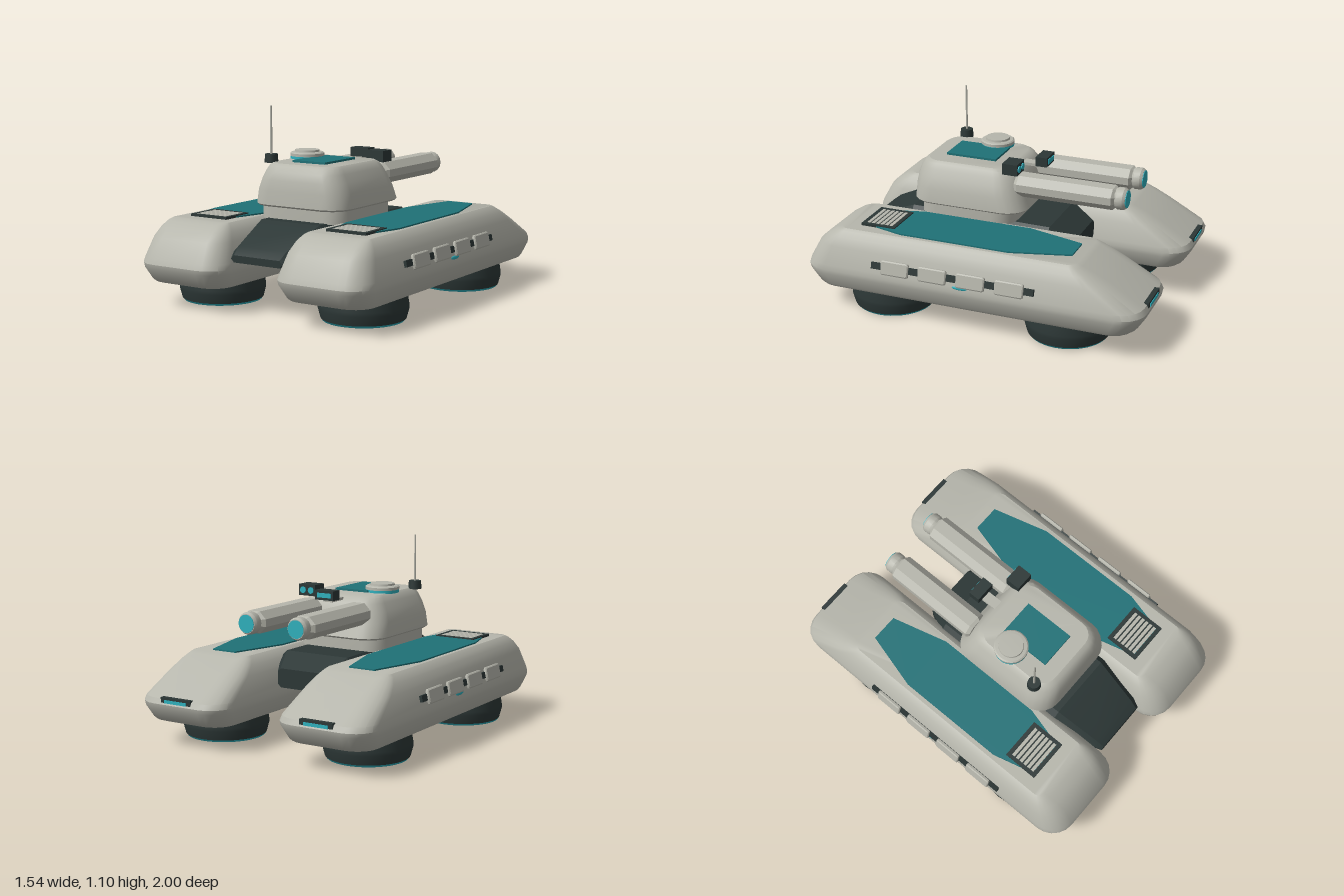
import * as THREE from 'three';
import { toCreasedNormals } from 'three/addons/utils/BufferGeometryUtils.js';

const paint = (name, color) => {
  const m = new THREE.MeshStandardMaterial({ color });
  m.name = name;
  return m;
};

// Rounded rectangle in the xz plane at height y, as a loop of points
function ring(y, hw, z0, z1, r, n) {
  const pts = [];
  const corners = [[hw - r, z1 - r], [r - hw, z1 - r], [r - hw, z0 + r], [hw - r, z0 + r]];
  corners.forEach(([cx, cz], k) => {
    for (let i = 0; i <= n; i++) {
      const a = (k + i / n) * Math.PI / 2;
      pts.push([cx + r * Math.cos(a), y, cz + r * Math.sin(a)]);
    }
  });
  return pts;
}

// Closed skin over stacked sections [y, halfWidth, z0, z1, radius]
function loft(sections, n = 5, crease = 0.5) {
  const rings = sections.map(s => ring(...s, n));
  const c = rings[0].length, pos = [], idx = [];
  rings.forEach(r => r.forEach(p => pos.push(...p)));
  for (let i = 0; i < rings.length - 1; i++) {
    for (let j = 0; j < c; j++) {
      const a = i * c + j, b = i * c + (j + 1) % c;
      idx.push(a, a + c, b, b, a + c, b + c);
    }
  }
  const top = (rings.length - 1) * c;
  for (let j = 1; j < c - 1; j++) {
    idx.push(0, j, j + 1, top, top + j + 1, top + j);
  }
  const g = new THREE.BufferGeometry();
  g.setAttribute('position', new THREE.Float32BufferAttribute(pos, 3));
  g.setIndex(idx);
  return toCreasedNormals(g, crease);
}

// The same, with sections [z, halfWidth, bottom, top, chamfer] stacked along z
const loftZ = sections =>
  loft(sections.map(([z, hw, lo, hi, r]) => [z, hw, -hi, -lo, r]), 1, 0.3).rotateX(Math.PI / 2);

export function createModel() {
  const model = new THREE.Group();
  model.name = 'hoverTank';
  const grey = paint('armourGrey', 0xb6b6ac);
  const dark = paint('darkMetal', 0x2c3736);
  const black = paint('underside', 0x191f20);
  const teal = paint('tealPaint', 0x1f7177);
  const cyan = paint('cyanGlow', 0x2fb0bd);

  const add = (name, geo, mat, x = 0, y = 0, z = 0, parent = model) => {
    const m = new THREE.Mesh(geo, mat);
    m.name = name;
    m.position.set(x, y, z);
    parent.add(m);
    return m;
  };
  const box = (w, h, d) => new THREE.BoxGeometry(w, h, d);
  const cyl = (rTop, rBottom, h, n = 32) => new THREE.CylinderGeometry(rTop, rBottom, h, n);
  const lathe = (pts, n = 40) => toCreasedNormals(
    new THREE.LatheGeometry(pts.map(p => new THREE.Vector2(...p)), n), 0.5);

  // Shared shapes for the pontoons
  const pontoonGeo = loft([
    [0.14, 0.255, -0.93, 0.93, 0.12],
    [0.155, 0.265, -0.95, 0.95, 0.13],
    [0.225, 0.288, -0.995, 0.995, 0.14],
    [0.25, 0.29, -1.0, 1.0, 0.14],
    [0.28, 0.285, -0.985, 0.99, 0.14],
    [0.39, 0.258, -0.80, 0.93, 0.12],
    [0.44, 0.235, -0.705, 0.875, 0.09],
    [0.47, 0.212, -0.64, 0.825, 0.06],
    [0.483, 0.195, -0.61, 0.79, 0.04],
  ]);
  const panelShape = new THREE.Shape([
    [-0.17, 0.22], [-0.17, -0.43], [-0.125, -0.60], [-0.115, -0.68],
    [0.115, -0.68], [0.125, -0.60], [0.17, -0.43], [0.17, 0.22], [0.08, 0.555], [-0.08, 0.555],
  ].map(p => new THREE.Vector2(...p)));
  const panelGeo = new THREE.ExtrudeGeometry(panelShape, { depth: 0.009, bevelEnabled: false })
    .rotateX(-Math.PI / 2);
  const podGeo = lathe([[0.215, 0.006], [0.232, 0.012], [0.246, 0.065], [0.246, 0.085], [0.236, 0.145], [0, 0.145]]);
  const podRingGeo = lathe([[0.2, 0.006], [0.2, 0], [0.222, 0], [0.232, 0.012]]);

  for (const s of [-1, 1]) {
    const p = new THREE.Group();
    p.name = s > 0 ? 'leftPontoon' : 'rightPontoon';
    p.position.x = s * 0.46;
    model.add(p);
    add('pontoonHull', pontoonGeo, grey, 0, 0, 0, p);
    add('deckPanel', panelGeo, teal, 0, 0.482, 0, p);

    // Hover pads
    for (const z of [-0.52, 0.545]) {
      add('hoverPad', podGeo, dark, s * 0.018, 0, z, p);
      add('padRing', podRingGeo, cyan, s * 0.018, 0, z, p);
      add('padBase', cyl(0.216, 0.216, 0.008, 40), black, s * 0.018, 0.01, z, p);
    }

    // Deck grille
    for (const k of [-1, 1]) {
      add('grilleFrameSide', box(0.022, 0.018, 0.205), dark, k * 0.114, 0.488, 0.588, p);
      add('grilleFrameEnd', box(0.25, 0.018, 0.022), dark, 0, 0.488, 0.588 + k * 0.092, p);
    }
    add('grilleBed', box(0.21, 0.004, 0.17), dark, 0, 0.4905, 0.582, p);
    for (let i = 0; i < 6; i++) {
      add('grilleSlat', box(0.205, 0.006, 0.019), grey, 0, 0.494, 0.52 + i * 0.0275, p);
    }

    // Nose lamp
    add('lampHousing', box(0.205, 0.045, 0.05), dark, 0, 0.268, -0.97, p);
    add('lampLens', box(0.15, 0.018, 0.006), cyan, 0, 0.268, -0.996, p);

    // Spare track links on a rail, leaning with the hull side
    const rack = new THREE.Group();
    rack.name = 'sideRack';
    rack.position.set(s * 0.287, 0.328, 0);
    rack.rotation.z = s * 0.21;
    p.add(rack);
    add('rackRail', box(0.03, 0.036, 0.965), dark, -s * 0.012, 0, 0.072, rack);
    for (let i = 0; i < 4; i++) {
      add('trackLink', loft([
        [-0.011, 0.034, -0.078, 0.078, 0.008], [-0.006, 0.041, -0.083, 0.083, 0.01],
        [0.006, 0.041, -0.083, 0.083, 0.01], [0.011, 0.034, -0.078, 0.078, 0.008],
      ], 2).rotateZ(Math.PI / 2), grey, s * 0.005, 0, 0.408 - i * 0.2265, rack);
    }
    const glow = add('sideGlow', new THREE.SphereGeometry(1, 20, 10), cyan, s * 0.282, 0.277, 0.022, p);
    glow.scale.set(0.008, 0.012, 0.05);
  }

  // Central hull bridging the pontoons
  add('centreHull', loftZ([
    [-0.44, 0.17, 0.29, 0.40, 0.02],
    [-0.3, 0.245, 0.29, 0.475, 0.04],
    [0.55, 0.245, 0.29, 0.48, 0.05],
    [0.81, 0.19, 0.29, 0.37, 0.03],
    [0.86, 0.17, 0.29, 0.33, 0.018],
  ]), dark);

  // Turret
  const turret = new THREE.Group();
  turret.name = 'turret';
  model.add(turret);
  const onTurret = (name, geo, mat, x, y, z) => add(name, geo, mat, x, y, z, turret);
  onTurret('turretRing', loft([[0.475, 0.29, -0.095, 0.485, 0.12], [0.56, 0.29, -0.095, 0.485, 0.12]]), grey);
  onTurret('turretBody', loft([
    [0.55, 0.295, -0.155, 0.515, 0.12],
    [0.56, 0.307, -0.166, 0.527, 0.13],
    [0.64, 0.297, -0.135, 0.522, 0.13],
    [0.70, 0.275, -0.112, 0.515, 0.125],
    [0.745, 0.252, -0.092, 0.502, 0.115],
    [0.775, 0.235, -0.065, 0.482, 0.1],
    [0.788, 0.218, -0.035, 0.46, 0.085],
  ]), grey);
  onTurret('roofPanel', box(0.22, 0.014, 0.305), teal, 0, 0.793, 0.218);

  // Hatch
  onTurret('hatchRing', cyl(0.096, 0.096, 0.02), cyan, -0.155, 0.795, 0.16);
  onTurret('hatch', lathe([[0.098, 0.803], [0.098, 0.819], [0.09, 0.825], [0.072, 0.827], [0.07, 0.838], [0, 0.84]], 32),
    grey, -0.155, 0, 0.16);

  // Antenna
  onTurret('antennaBase', cyl(0.036, 0.04, 0.048, 16), dark, -0.238, 0.806, 0.395);
  onTurret('antennaRod', cyl(0.005, 0.007, 0.28, 8), grey, -0.238, 0.962, 0.395);

  // Sights
  onTurret('twinSight', box(0.112, 0.065, 0.09), dark, 0.187, 0.802, -0.072);
  for (const x of [0.16, 0.214]) {
    onTurret('twinSightLens', cyl(0.019, 0.019, 0.008, 16).rotateX(Math.PI / 2), cyan, x, 0.802, -0.119);
  }
  onTurret('centreSight', box(0.122, 0.055, 0.068), dark, -0.003, 0.8, -0.192);
  onTurret('centreSightLens', box(0.09, 0.026, 0.006), cyan, -0.003, 0.8, -0.228);
  onTurret('sightBracket', box(0.06, 0.016, 0.15), grey, -0.003, 0.766, -0.115);

  // Twin guns
  const barrelGeo = loftZ([
    [-0.685, 0.05, 0.65, 0.745, 0.03],
    [-0.665, 0.076, 0.635, 0.758, 0.04],
    [-0.11, 0.076, 0.635, 0.758, 0.04],
    [-0.09, 0.062, 0.645, 0.75, 0.035],
  ]);
  const muzzleGeo = lathe([[0, -0.739], [0.054, -0.739], [0.063, -0.725], [0.063, -0.69], [0.052, -0.67], [0, -0.67]], 16);
  // Flip the profile so its axis runs along z with faces outward
  muzzleGeo.rotateX(Math.PI / 2);
  muzzleGeo.computeBoundingBox();
  for (const s of [-1, 1]) {
    const gun = new THREE.Group();
    gun.name = s > 0 ? 'leftGun' : 'rightGun';
    gun.position.x = s * 0.163;
    turret.add(gun);
    add('gunBarrel', barrelGeo, grey, 0, 0, 0, gun);
    add('muzzle', muzzleGeo, grey, 0, 0.697, 0, gun);
    add('muzzleGlow', cyl(0.05, 0.05, 0.006, 20).rotateX(Math.PI / 2), cyan, 0, 0.697, -0.74, gun);
  }
  return model;
}
